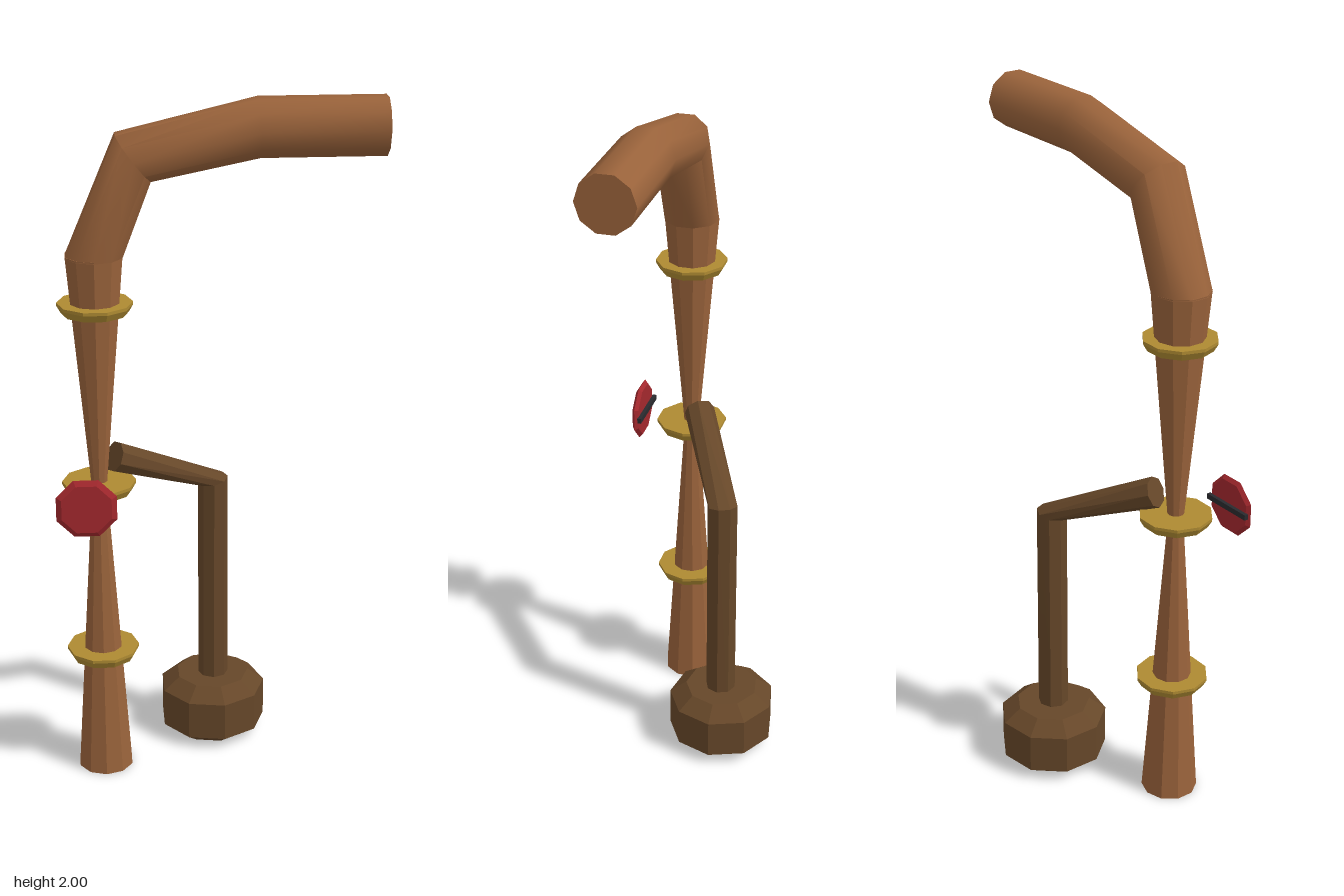
import * as THREE from 'three';
import { toCreasedNormals } from 'three/addons/utils/BufferGeometryUtils.js';

const material = (name, color) => {
  const m = new THREE.MeshStandardMaterial({ color });
  m.name = name;
  return m;
};

// Turned solid; profile is [radius, y] from bottom to top
function turned(profile, sides, phase = 0) {
  const points = profile.map(([r, y]) => new THREE.Vector2(r, y));
  return toCreasedNormals(new THREE.LatheGeometry(points, sides, phase), 0.1);
}

// Capped round bar through rings of [centre, direction]
function bar(rings, radius, sides, crease) {
  const pos = [], index = [];
  const ref = new THREE.Vector3(0, 0, 1);
  for (const [centre, direction] of rings) {
    const c = new THREE.Vector3(...centre);
    const n = new THREE.Vector3(...direction).normalize();
    const u = ref.clone().addScaledVector(n, -ref.dot(n)).normalize();
    const v = n.clone().cross(u);
    for (let j = 0; j < sides; j++) {
      const a = (j / sides) * Math.PI * 2;
      pos.push(...c.clone().addScaledVector(u, radius * Math.cos(a)).addScaledVector(v, radius * Math.sin(a)));
    }
  }
  const last = (rings.length - 1) * sides;
  for (let i = 0; i < last; i += sides) {
    for (let j = 0; j < sides; j++) {
      const k = (j + 1) % sides;
      index.push(i + j, i + k, i + sides + j, i + k, i + sides + k, i + sides + j);
    }
  }
  for (let j = 1; j < sides - 1; j++) {
    index.push(0, j + 1, j, last, last + j, last + j + 1);
  }
  const g = new THREE.BufferGeometry();
  g.setAttribute('position', new THREE.Float32BufferAttribute(pos, 3));
  g.setIndex(index);
  return toCreasedNormals(g, crease);
}

export function createModel() {
  const group = new THREE.Group();
  const wood = material('warm brown', 0x9a633b);
  const darkWood = material('dark brown', 0x664729);
  const brass = material('brass', 0xae8a32);
  const red = material('red', 0xa3282d);
  const black = material('charcoal', 0x2a2a2e);

  const add = (name, geometry, mat, x = 0, y = 0, z = 0) => {
    const mesh = new THREE.Mesh(geometry, mat);
    mesh.name = name;
    mesh.position.set(x, y, z);
    group.add(mesh);
    return mesh;
  };

  const px = -0.335, pz = 0.082;

  // Waisted post
  add('post', turned([[0, 0], [0.082, 0], [0.022, 0.9], [0.082, 1.585], [0, 1.585]], 10), wood, px, 0, pz);

  // Bent pipe on top of the post
  add('upperPipe', bar([
    [[px, 1.58, pz], [0, 1, 0]],
    [[-0.225, 1.85, pz], [0.8, 0.6, 0]],
    [[0.112, 1.925, pz], [1, 0.04, 0]],
    [[0.455, 1.925, pz], [1, 0, 0]],
  ], 0.082, 10, 0.8), wood);

  // Brass collars
  for (const y of [0.38, 0.906, 1.436]) {
    const collar = turned([[0, -0.015], [0.093, -0.015], [0.105, 0.006], [0.105, 0.015], [0, 0.015]], 10, Math.PI / 10);
    add('collar', collar, brass, px, y, pz);
  }

  // Side arm dropping to the weight
  add('sideArm', bar([
    [[-0.29, 0.978, 0.045], [0.3, -0.14, -0.155]],
    [[0.003, 0.835, -0.105], [0.2, -1, -0.1]],
    [[0.003, 0.17, -0.105], [0, -1, 0]],
  ], 0.045, 8, 0.1), darkWood);

  // Nine-sided weight with chamfered rims
  add('weight', turned([[0, 0], [0.11, 0], [0.16, 0.035], [0.16, 0.152], [0.11, 0.19], [0, 0.19]], 9, Math.PI / 2),
    darkWood, 0, 0, -0.108);

  // Red button facing forward, with a dark bar behind it
  const button = add('button', turned([[0, -0.01], [0.08, -0.01], [0.091, 0], [0.075, 0.01], [0, 0.01]], 8, Math.PI / 8),
    red, -0.373, 0.91, 0.252);
  button.rotation.x = Math.PI / 2;
  add('buttonBar', new THREE.BoxGeometry(0.166, 0.016, 0.012), black, -0.373, 0.91, 0.237);

  return group;
}
